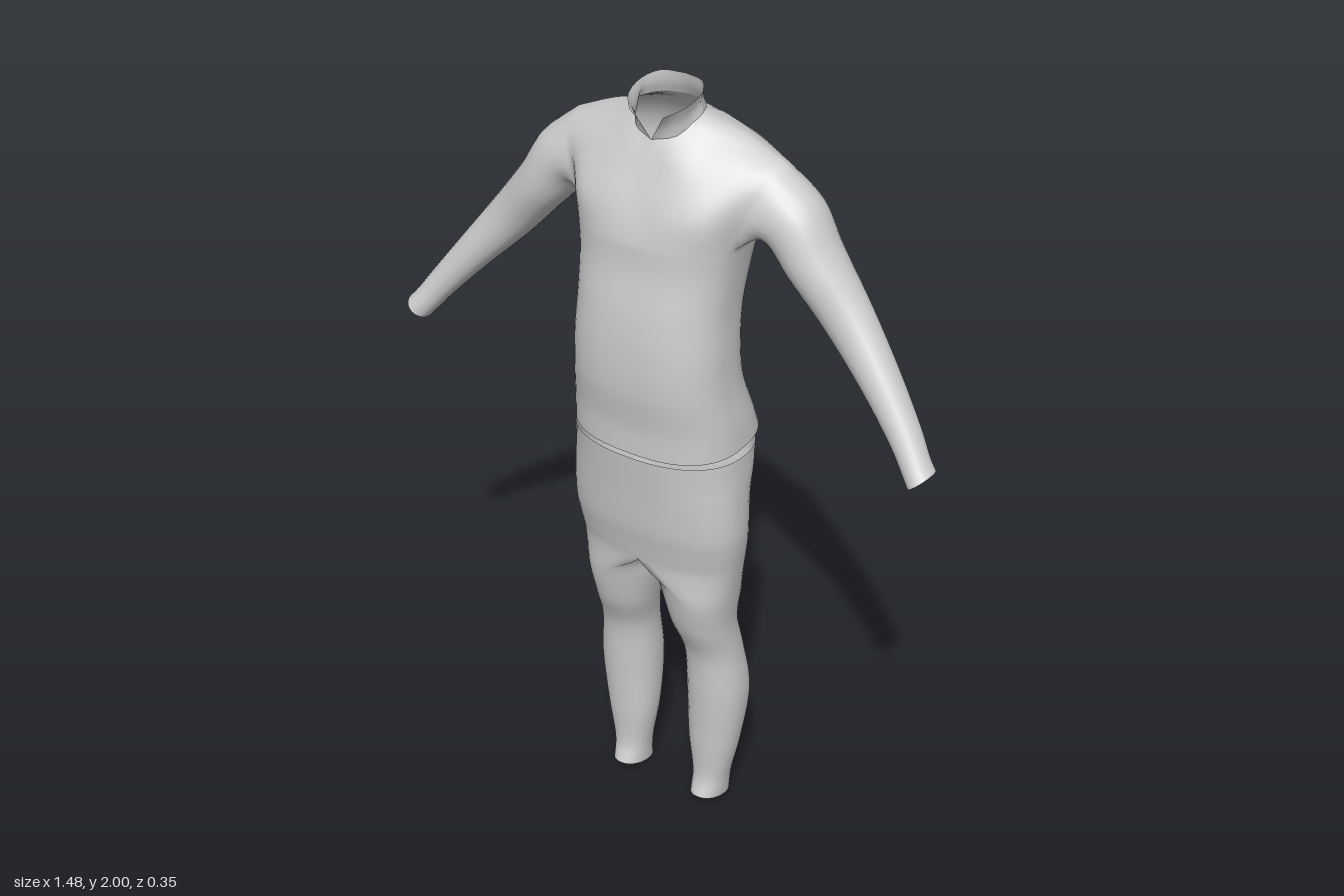
import * as THREE from 'three';
import { mergeGeometries, mergeVertices } from 'three/addons/utils/BufferGeometryUtils.js';

const V = (x, y, z) => new THREE.Vector3(x, y, z);
const range = (n, f) => Array.from({ length: n }, (_, i) => f(i));
const smooth = pts => new THREE.CatmullRomCurve3(pts);
const curve = (pts, n) => smooth(pts.map(p => V(...p))).getPoints(n);
const spow = (v, p) => Math.sign(v) * Math.abs(v) ** p;

// grid surface over rows of points
function skin(rows, flip = false) {
  const n = rows[0].length, idx = [];
  for (let i = 0; i < rows.length - 1; i++) for (let j = 0; j < n - 1; j++) {
    const a = i * n + j, b = a + 1, c = b + n, d = a + n;
    idx.push(...(flip ? [a, c, b, a, d, c] : [a, b, c, a, c, d]));
  }
  const g = new THREE.BufferGeometry().setFromPoints(rows.flat());
  g.setIndex(idx);
  return g;
}

// smooth in-between rows; the first `skip` key rows only steer the tangent
function loft(keys, steps, skip = 0) {
  const curves = keys[0].map((_, j) => smooth(keys.map(r => r[j])));
  const start = skip / (keys.length - 1);
  return range(steps + 1, i => curves.map(c => c.getPoint(start + (1 - start) * i / steps)));
}

// join the half surfaces with their mirror image into one smooth garment
function garment(name, halves, material) {
  const mirrored = halves.map(h => {
    const g = h.clone().scale(-1, 1, 1);
    g.index.array.reverse();
    return g;
  });
  const g = mergeVertices(mergeGeometries([...halves, ...mirrored]), 1e-4);
  g.computeVertexNormals();
  const mesh = new THREE.Mesh(g, material);
  mesh.name = name;
  return mesh;
}

// half ring from front centre round the +x side to back centre
const halfRing = (angles, [y, w, zf, zb, tilt = 0], p = 0.8) => angles.map(t => {
  const c = spow(Math.cos(t), p);
  return V(w * spow(Math.max(0, Math.sin(t)), p), y - tilt * c, (zf + zb) / 2 + (zf - zb) / 2 * c);
});

function shirtParts() {
  const K = 12, U = 6, A = 1.34, B = 2.03;
  const angles = [
    ...range(K, i => A * i / K), ...range(U, i => A + (B - A) * i / U),
    ...range(K + 1, i => B + (Math.PI - B) * i / K),
  ];

  // body up to the armpits: height, half width, front z, back z, hem tilt
  const body = [
    [1.14, .225, .16, -.172, .012], [1.2, .22, .162, -.152], [1.3, .206, .175, -.117],
    [1.4, .2, .175, -.11], [1.5, .196, .165, -.125], [1.6, .203, .147, -.15], [1.67, .213, .142, -.166],
  ].map(r => halfRing(angles, r));
  const [below, pit] = body.slice(-2);

  // neckline and shoulder ridge shared by front, back and collar
  const neckF = curve([[0, 1.89, .055], [.055, 1.905, .035], [.085, 1.945, -.02]], K / 2);
  const neckB = curve([[0, 1.943, -.1], [.06, 1.945, -.075], [.085, 1.945, -.02]], K / 2);
  const ridge = curve([[.085, 1.945, -.02], [.17, 1.912, -.05], [.28, 1.862, -.058]], K / 2).slice(1);

  // chest and upper back panels, centre line to armhole
  const M = 10;
  const panel = (pick, rows, top) => loft(
    [pick(below), pick(pit), ...rows.map(r => curve(r, K)), top], M, 1);
  const front = panel(r => r.slice(0, K + 1), [
    [[0, 1.74, .12], [.09, 1.74, .122], [.17, 1.74, .1], [.225, 1.745, .04]],
    [[0, 1.82, .085], [.09, 1.82, .083], [.17, 1.815, .06], [.25, 1.81, .02]],
    [[0, 1.867, .065], [.06, 1.882, .052], [.15, 1.877, .015], [.268, 1.848, -.015]],
  ], [...neckF, ...ridge]);
  const back = panel(r => r.slice(K + U).reverse(), [
    [[0, 1.74, -.168], [.09, 1.74, -.176], [.17, 1.74, -.158], [.225, 1.745, -.13]],
    [[0, 1.83, -.168], [.09, 1.83, -.172], [.18, 1.825, -.155], [.25, 1.812, -.13]],
    [[0, 1.905, -.13], [.08, 1.907, -.125], [.16, 1.892, -.113], [.268, 1.85, -.095]],
  ], [...neckB, ...ridge]);

  // sleeve: armhole loop carried down the arm
  const hole = [
    ...pit.slice(K, K + U + 1), ...back.slice(1).map(r => r[K]),
    ...front.slice(0, M).reverse().map(r => r[K]),
  ];
  const mid = hole.slice(1).reduce((s, p) => s.add(p), V(0, 0, 0)).divideScalar(hole.length - 1);
  const up = V(.76, .65, 0);
  const turns = hole.map(p => {
    const d = p.clone().sub(mid);
    return Math.atan2(d.dot(up) / .09, d.z / .085);
  });
  const sleeve = [
    [.305, 1.735, -.053, .083, .085], [.372, 1.655, -.046, .068, .078], [.465, 1.545, -.04, .06, .06],
    [.575, 1.42, -.014, .047, .05], [.66, 1.318, .015, .038, .043], [.695, 1.272, .032, .035, .041],
    [.714, 1.249, .04, .035, .042],
  ].map(([x, y, z, r, rz]) => turns.map(t =>
    V(x, y, z).addScaledVector(up, r * Math.sin(t)).add(V(0, 0, rz * Math.cos(t)))));

  // stand-up collar, open in a V at the front
  const collarTop = curve([[.045, 1.96, .075], [.075, 1.975, .035], [.08, 1.99, -.025], [.055, 2, -.065], [0, 2, -.08]], K);
  const collarBase = [...neckF, ...neckB.slice(0, -1).reverse()];
  const collarMid = collarBase.map((p, j) => p.clone().lerp(collarTop[j], .5).multiply(V(.96, 1, .96)));

  return {
    shirt: [skin(loft(body, 30)), skin(front), skin(back, true), skin(loft([hole, ...sleeve], 36))],
    collar: [skin(loft([collarBase, collarMid, collarTop], 6))],
  };
}

function trouserParts() {
  const O = 28, I = 14;
  const angles = range(O + 1, i => Math.PI * i / O);

  // hips: height, half width, front z, back z, waist tilt
  const hips = [
    [.8, .222, .12, -.11], [.85, .23, .13, -.11], [.9, .234, .14, -.11],
    [1, .231, .151, -.125], [1.06, .228, .158, -.152], [1.115, .225, .165, -.165, -.005],
  ].map(r => halfRing(angles, r, .85));

  // crotch curve closes the top ring of each leg
  const crotch = range(I, i => {
    const s = (i + 1) / I;
    return V(0, .8 - .03 * Math.sin(Math.PI * s), -.11 + .23 * s);
  });
  const top = [...hips[0], ...crotch];
  const lead = [...hips[1], ...crotch.slice(0, -1).map(p => V(-.03, p.y + .004, p.z)), hips[1][0]];

  // leg rings: height, inner x, outer x, front z, back z, hem tilt
  const leg = [
    [.7, .012, .207, .104, -.1], [.6, .034, .196, .08, -.088], [.5, .053, .2, .042, -.105],
    [.36, .054, .212, .03, -.126], [.2, .06, .195, .021, -.106], [.08, .077, .172, .018, -.09],
    [.018, .08, .166, .034, -.092, .014],
  ].map(([y, a, b, zf, zb, tilt = 0]) => range(O + I + 1, j => {
    const t = j <= O ? Math.PI * j / O : Math.PI * (1 + (j - O) / I);
    const c = spow(Math.cos(t), .92);
    return V((a + b) / 2 + (b - a) / 2 * spow(Math.sin(t), .92), y + tilt * c, (zf + zb) / 2 + (zf - zb) / 2 * c);
  }));

  const parts = [skin(loft(hips, 26)), skin(loft([lead, top, ...leg], 60, 1), true)];

  // soft folds behind the thighs and knees
  for (const g of parts) {
    const p = g.attributes.position;
    for (let i = 0; i < p.count; i++) {
      const x = p.getX(i), y = p.getY(i), z = p.getZ(i);
      const amount = .006 * Math.exp(-(((y - .76) / .13) ** 2)) * THREE.MathUtils.smoothstep(-z, 0, .08);
      const fold = Math.sin(y * 85 + x * 22 + 2 * Math.sin(x * 30));
      p.setZ(i, z + amount * fold);
      p.setX(i, x * (1 + amount * 2 * fold));
    }
  }
  return parts;
}

export function createModel() {
  const material = new THREE.MeshStandardMaterial({ color: 0xcccccc, side: THREE.DoubleSide });
  const { shirt, collar } = shirtParts();
  const model = new THREE.Group();
  model.name = 'baseLayerSuit';
  model.add(
    garment('shirt', shirt, material),
    garment('collar', collar, material),
    garment('trousers', trouserParts(), material),
  );
  return model;
}
